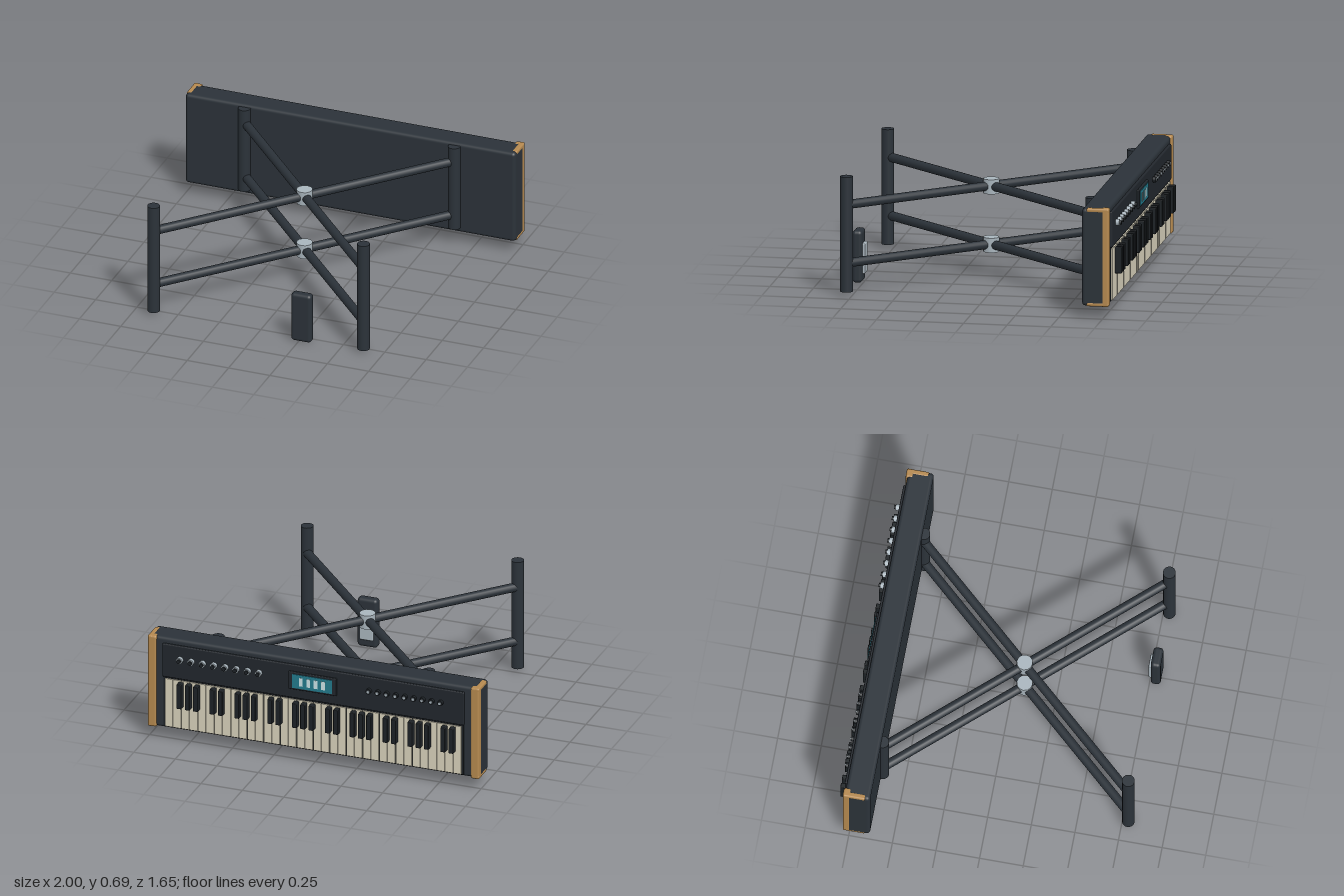
import * as THREE from 'three';
import { RoundedBoxGeometry } from 'three/addons/geometries/RoundedBoxGeometry.js';

const mat = (name, color) => Object.assign(new THREE.MeshStandardMaterial({ color }), { name });

export function createModel() {
  const root = new THREE.Group();
  const M = {
    body: mat('charcoal', 0x2b3239),
    panel: mat('dark panel', 0x22272d),
    black: mat('key black', 0x1d2226),
    ivory: mat('key ivory', 0xd8d2bc),
    wood: mat('wood', 0xb5894f),
    silver: mat('silver', 0xa9b5bd),
    teal: mat('screen teal', 0x237a8c),
    glow: mat('screen digits', 0xd5eef2),
  };
  const group = (name) => {
    const g = new THREE.Group();
    g.name = name;
    root.add(g);
    return g;
  };
  const add = (parent, name, geo, material, x = 0, y = 0, z = 0) => {
    const m = new THREE.Mesh(geo, material);
    m.name = name;
    m.position.set(x, y, z);
    parent.add(m);
    return m;
  };
  // Box given by its limits on each axis; r rounds the edges
  const box = (parent, name, material, [x0, x1], [y0, y1], [z0, z1], r = 0) => {
    const s = [x1 - x0, y1 - y0, z1 - z0];
    const geo = r ? new RoundedBoxGeometry(...s, 3, r) : new THREE.BoxGeometry(...s);
    return add(parent, name, geo, material, (x0 + x1) / 2, (y0 + y1) / 2, (z0 + z1) / 2);
  };
  // Short cylinder standing out of the control face (towards -z)
  const stud = (parent, name, material, r, x, y, z0, z1) => {
    const geo = new THREE.CylinderGeometry(r, r, z0 - z1, 16).rotateX(Math.PI / 2);
    return add(parent, name, geo, material, x, y, (z0 + z1) / 2);
  };

  // Keyboard case, standing on its long edge with the keys facing -z
  const piano = group('keyboard');
  box(piano, 'case', M.body, [-0.999, 0.999], [0.072, 0.634], [-0.776, -0.63], 0.02);
  box(piano, 'controlPanel', M.panel, [-0.91, 0.91], [0.395, 0.6], [-0.79, -0.77], 0.006);
  box(piano, 'keyBed', M.black, [-0.905, 0.905], [0.084, 0.392], [-0.78, -0.77]);

  // Wooden end trim: front strip with a lip wrapping over top and bottom
  for (const s of [-1, 1]) {
    const span = (a, b) => (s > 0 ? [a, b] : [-b, -a]);
    const trim = group(s > 0 ? 'leftEndTrim' : 'rightEndTrim');
    box(trim, 'frontStrip', M.wood, span(0.947, 1), [0.07, 0.636], [-0.786, -0.742], 0.012);
    for (const y of [[0.07, 0.095], [0.611, 0.636]])
      box(trim, 'edgeLip', M.wood, span(0.968, 1), y, [-0.786, -0.657], 0.01);
  }

  // 36 white keys from E to E, low notes at +x
  const whites = 36, pitch = 1.79 / whites, notes = 'EFGABCD';
  for (let i = 0; i < whites; i++) {
    const x = 0.895 - (i + 0.5) * pitch;
    box(piano, 'whiteKey', M.ivory, [x - pitch * 0.46, x + pitch * 0.46], [0.088, 0.385], [-0.788, -0.77]);
    // A black key follows every white one except E and B
    if (i < whites - 1 && !'EB'.includes(notes[i % 7])) {
      const bx = x - pitch / 2;
      box(piano, 'blackKey', M.black, [bx - 0.0145, bx + 0.0145], [0.225, 0.378], [-0.825, -0.78], 0.004);
    }
  }

  // Screen with four lit digits
  const screen = group('screen');
  box(screen, 'bezel', M.panel, [-0.145, 0.145], [0.453, 0.562], [-0.801, -0.785], 0.005);
  box(screen, 'glass', M.teal, [-0.12, 0.12], [0.465, 0.55], [-0.805, -0.799]);
  for (let i = 0; i < 4; i++) {
    const x = (i - 1.5) * 0.045;
    box(screen, 'digit', M.glow, [x - 0.011, x + 0.011], [0.482, 0.533], [-0.807, -0.803]);
  }

  // Eight knobs on the low side, a row of buttons on the high side
  const controls = group('controls');
  for (let i = 0; i < 8; i++) {
    const x = 0.8 - i * 0.068;
    stud(controls, 'knobRing', M.silver, 0.019, x, 0.518, -0.785, -0.812);
    stud(controls, 'knobCap', M.black, 0.012, x, 0.518, -0.81, -0.823);
  }
  for (let i = 0; i < 9; i++) {
    const x = -0.34 - i * 0.054;
    stud(controls, 'buttonBase', M.black, 0.016, x, 0.518, -0.785, -0.808);
    stud(controls, 'buttonTip', M.silver, 0.008, x, 0.518, -0.806, -0.813);
  }

  // Stand: four posts, two crossed pairs of bars and a hub at each crossing
  const stand = group('stand');
  const legX = 0.635, frontZ = 0.785, rearZ = -0.622, midZ = (frontZ + rearZ) / 2 - 0.008;
  for (const s of [-1, 1]) {
    add(stand, 'frontPost', new THREE.CylinderGeometry(0.036, 0.036, 0.665, 20), M.body, s * legX, 0.3525, frontZ);
    add(stand, 'rearPost', new THREE.CylinderGeometry(0.036, 0.036, 0.515, 20), M.body, s * legX, 0.3625, rearZ);
  }
  for (const y of [0.185, 0.522]) {
    for (const s of [-1, 1]) {
      const dx = legX * 2 * s, dz = rearZ - frontZ;
      const bar = new THREE.CylinderGeometry(0.026, 0.026, Math.hypot(dx, dz), 16).rotateX(Math.PI / 2);
      add(stand, 'crossBar', bar, M.body, 0, y, midZ).rotation.y = Math.atan2(dx, dz);
    }
    add(stand, 'hub', new THREE.CylinderGeometry(0.046, 0.046, 0.084, 12), M.silver, 0, y, midZ);
  }

  // Foot pedal, on end like the rest, with its plate facing -z
  const pedal = group('pedal');
  box(pedal, 'pedalBase', M.body, [0.203, 0.325], [0, 0.3], [0.755, 0.812], 0.02);
  box(pedal, 'pedalPlate', M.silver, [0.223, 0.305], [0.05, 0.225], [0.741, 0.762], 0.006);

  return root;
}
